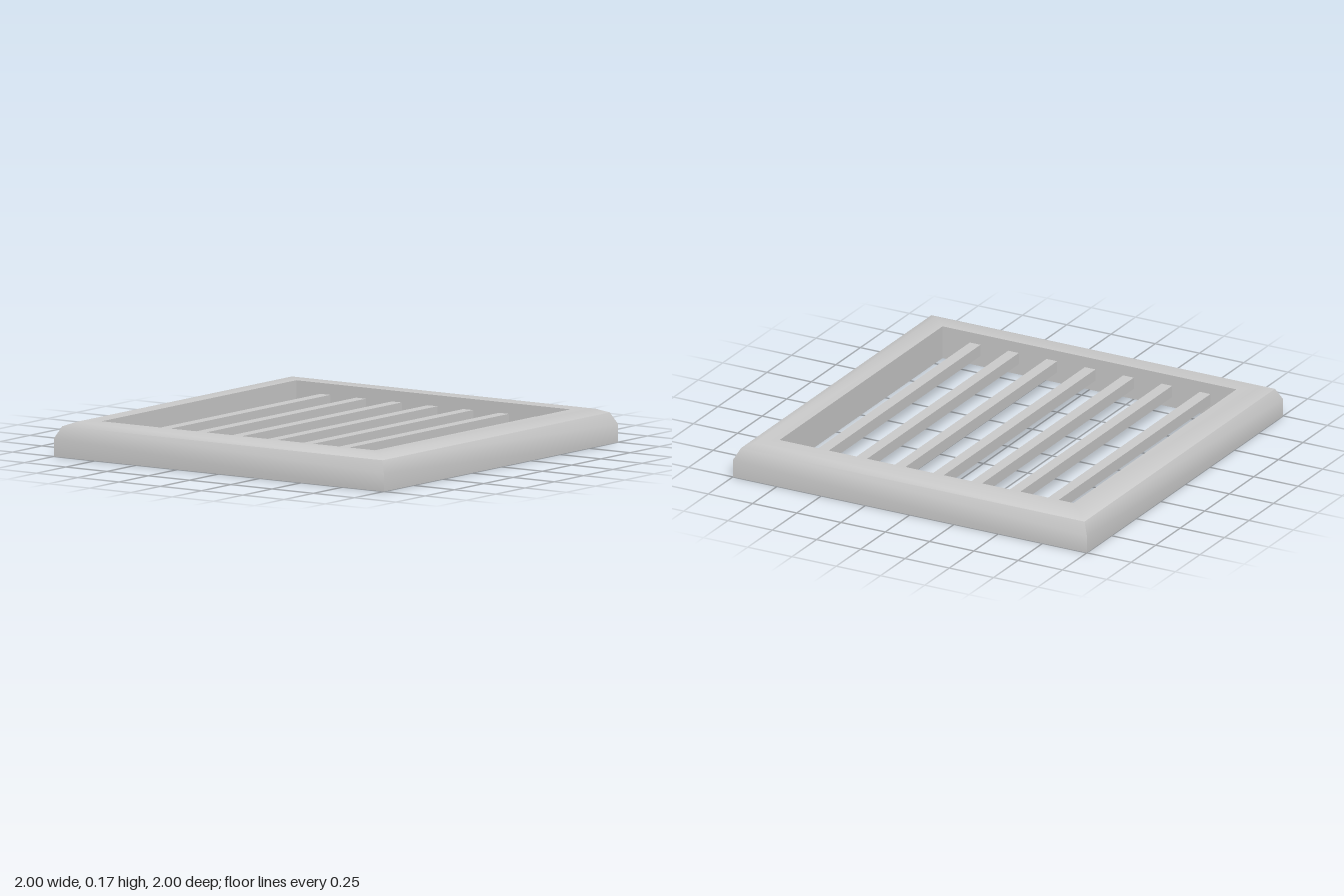
import * as THREE from 'three';
import { toCreasedNormals } from 'three/addons/utils/BufferGeometryUtils.js';

const material = new THREE.MeshStandardMaterial({ color: 0xcccccc });

function addPart(group, name, geometry) {
  const mesh = new THREE.Mesh(geometry, material);
  mesh.name = name;
  group.add(mesh);
  return mesh;
}

export function createModel() {
  const model = new THREE.Group();
  model.name = 'grille';

  // Square frame: a closed rail section swept round four mitred corners
  const section = [
    [0.83, 0], [1, 0], [1, 0.09], [0.97, 0.15], [0.92, 0.17], [0.83, 0.17], [0.83, 0],
  ].map(([halfWidth, y]) => new THREE.Vector2(halfWidth * Math.SQRT2, y));
  const frame = new THREE.LatheGeometry(section, 4, Math.PI / 4);
  addPart(model, 'frame', toCreasedNormals(frame, 0.6));

  // Seven square bars running front to back, midway up the frame
  const bars = new THREE.Group();
  bars.name = 'bars';
  model.add(bars);
  const barGeometry = new THREE.BoxGeometry(0.06, 0.06, 1.66);
  for (let i = -3; i <= 3; i++) {
    addPart(bars, `bar${i + 4}`, barGeometry).position.set(i * 0.2165 - 0.004, 0.085, 0);
  }

  return model;
}
